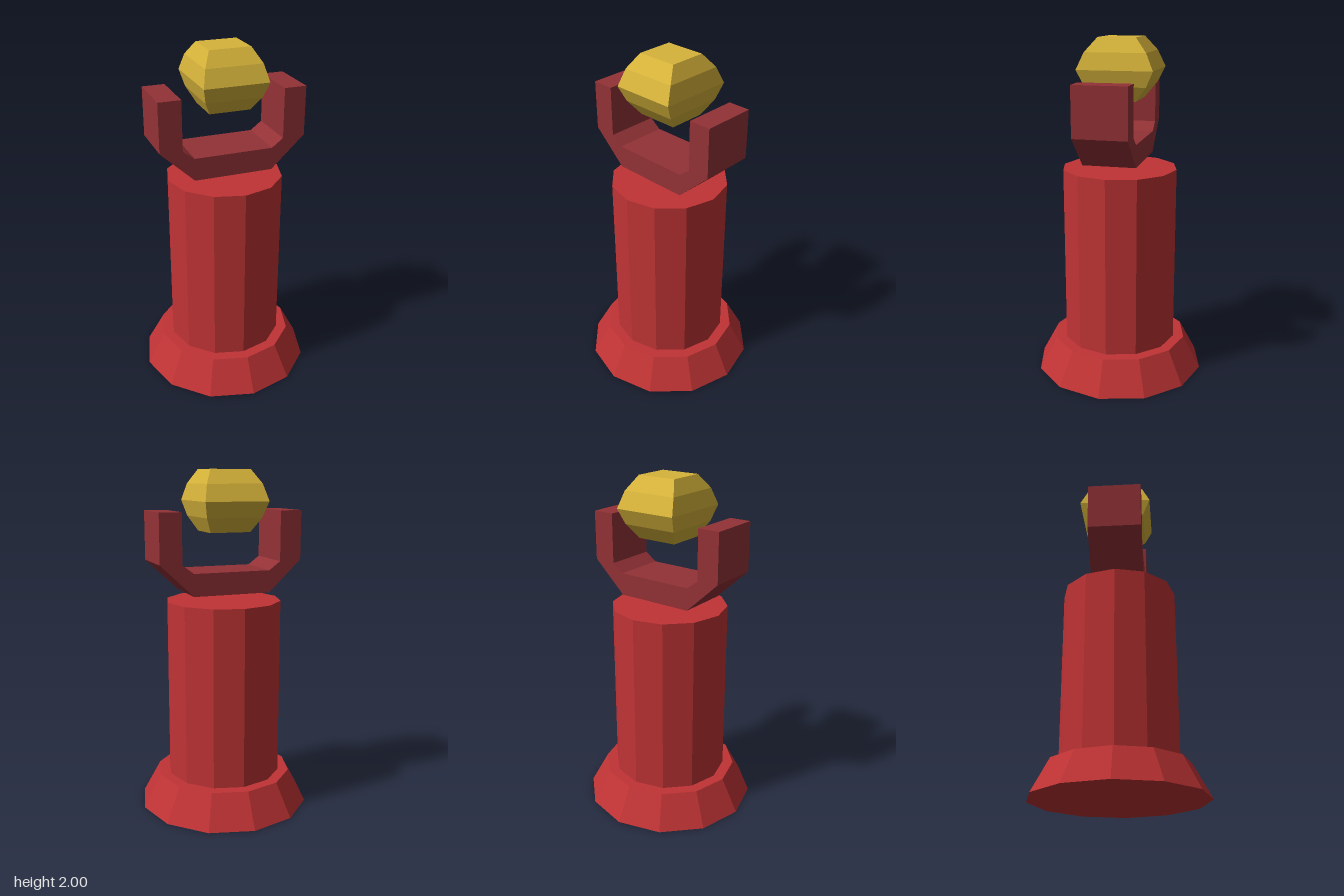
import * as THREE from 'three';

function flat(name, color) {
  const m = new THREE.MeshStandardMaterial({ color, flatShading: true });
  m.name = name;
  return m;
}

// Closed solid lofted through rectangular sections [y, halfWidth, zBack, zFront]
function loftRectangles(sections) {
  const rings = sections.map(([y, w, z0, z1]) => [[w, y, z1], [w, y, z0], [-w, y, z0], [-w, y, z1]]);
  const pos = [];
  const quad = (a, b, c, d) => pos.push(...a, ...b, ...c, ...a, ...c, ...d);
  for (let k = 0; k < rings.length - 1; k++) {
    const lower = rings[k], upper = rings[k + 1];
    for (let i = 0; i < 4; i++) {
      const j = (i + 1) % 4;
      quad(lower[i], lower[j], upper[j], upper[i]);
    }
  }
  quad(...rings[rings.length - 1]);
  quad(...[...rings[0]].reverse());
  const g = new THREE.BufferGeometry();
  g.setAttribute('position', new THREE.Float32BufferAttribute(pos, 3));
  g.computeVertexNormals();
  return g;
}

export function createModel() {
  const red = flat('red', 0xc03335);
  const darkRed = flat('dark red', 0x933236);
  const gold = flat('gold', 0xd6b33a);
  const model = new THREE.Group();
  model.name = 'crystalPillar';

  const add = (name, geometry, material) => {
    const mesh = new THREE.Mesh(geometry, material);
    mesh.name = name;
    model.add(mesh);
    return mesh;
  };

  // Flared foot and twelve-sided column
  add('base', new THREE.CylinderGeometry(0.405, 0.51, 0.195, 12), red).position.y = 0.0975;
  add('column', new THREE.CylinderGeometry(0.34, 0.34, 1.055, 12), red).position.y = 0.7225;

  // Floating U-shaped fork: right half of the outline, mirrored
  const half = [[0.23, 1.3], [0.427, 1.485], [0.427, 1.77], [0.297, 1.77], [0.297, 1.48], [0.23, 1.43]];
  const outline = [...half, ...half.map(([x, y]) => [-x, y]).reverse()];
  const forkShape = new THREE.Shape(outline.map(([x, y]) => new THREE.Vector2(x, y)));
  const fork = new THREE.ExtrudeGeometry(forkShape, { depth: 0.31, bevelEnabled: false });
  add('fork', fork, darkRed).position.z = -0.15;

  // Floating faceted crystal, slightly longer towards the back
  add('crystal', loftRectangles([
    [1.65, 0.12, -0.12, 0.097],
    [1.735, 0.165, -0.187, 0.163],
    [1.825, 0.188, -0.23, 0.205],
    [1.92, 0.165, -0.187, 0.163],
    [2.0, 0.12, -0.12, 0.097],
  ]), gold);

  return model;
}
